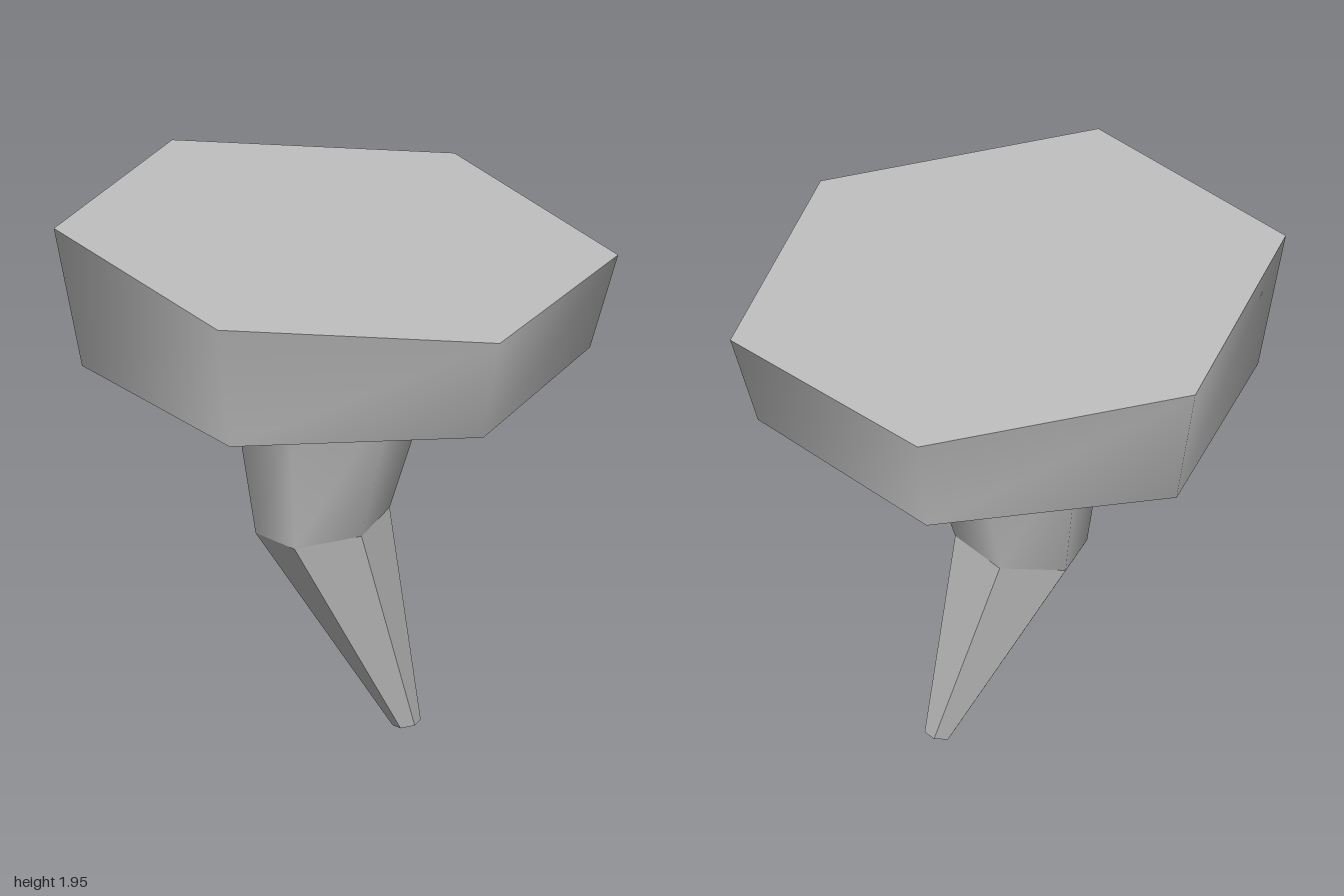
import * as THREE from 'three';
import { toCreasedNormals } from 'three/addons/utils/BufferGeometryUtils.js';

// A ring is { x, y, r, slope }: a hexagon around (x, y) whose height changes by slope along x.
const SEAT_TOP = { x: 0, y: 1.86, r: 1, slope: -0.09 };
const SEAT_BASE = { x: 0, y: 1.42, r: 0.9, slope: 0 };
const STEM_TOP = { x: -0.005, y: 1.42, r: 0.378, slope: 0 };
const KNEE = { x: -0.0475, y: 0.795, r: 0.2375, slope: 0.168 };
const TIP = { x: 0.25, y: 0.009, r: 0.05, slope: 0.18 };

// Six-sided loft between two tilted rings, with corners on the x axis
function hexLoft(top, base, openEnded, crease) {
  const geometry = new THREE.CylinderGeometry(1, 1, 1, 6, 1, openEnded, Math.PI / 2);
  const p = geometry.attributes.position;
  for (let i = 0; i < p.count; i++) {
    const ring = p.getY(i) > 0 ? top : base;
    const dx = p.getX(i) * ring.r;
    p.setXYZ(i, ring.x + dx, ring.y + dx * ring.slope, p.getZ(i) * ring.r);
  }
  return toCreasedNormals(geometry, THREE.MathUtils.degToRad(crease));
}

export function createModel() {
  const grey = new THREE.MeshStandardMaterial({ color: 0xc0c0c0 });
  grey.name = 'light grey';

  const group = new THREE.Group();
  group.name = 'slantedHexPedestal';
  const add = (name, geometry) => {
    const mesh = new THREE.Mesh(geometry, grey);
    mesh.name = name;
    group.add(mesh);
  };

  // Slanted slab with softly shaded sides
  add('platform', hexLoft(SEAT_TOP, SEAT_BASE, false, 66));
  // Tapered neck, hidden at both ends
  add('upperStem', hexLoft(STEM_TOP, KNEE, true, 66));
  // Bent, faceted spike down to the ground
  add('lowerSpike', hexLoft(KNEE, TIP, false, 5));

  return group;
}
